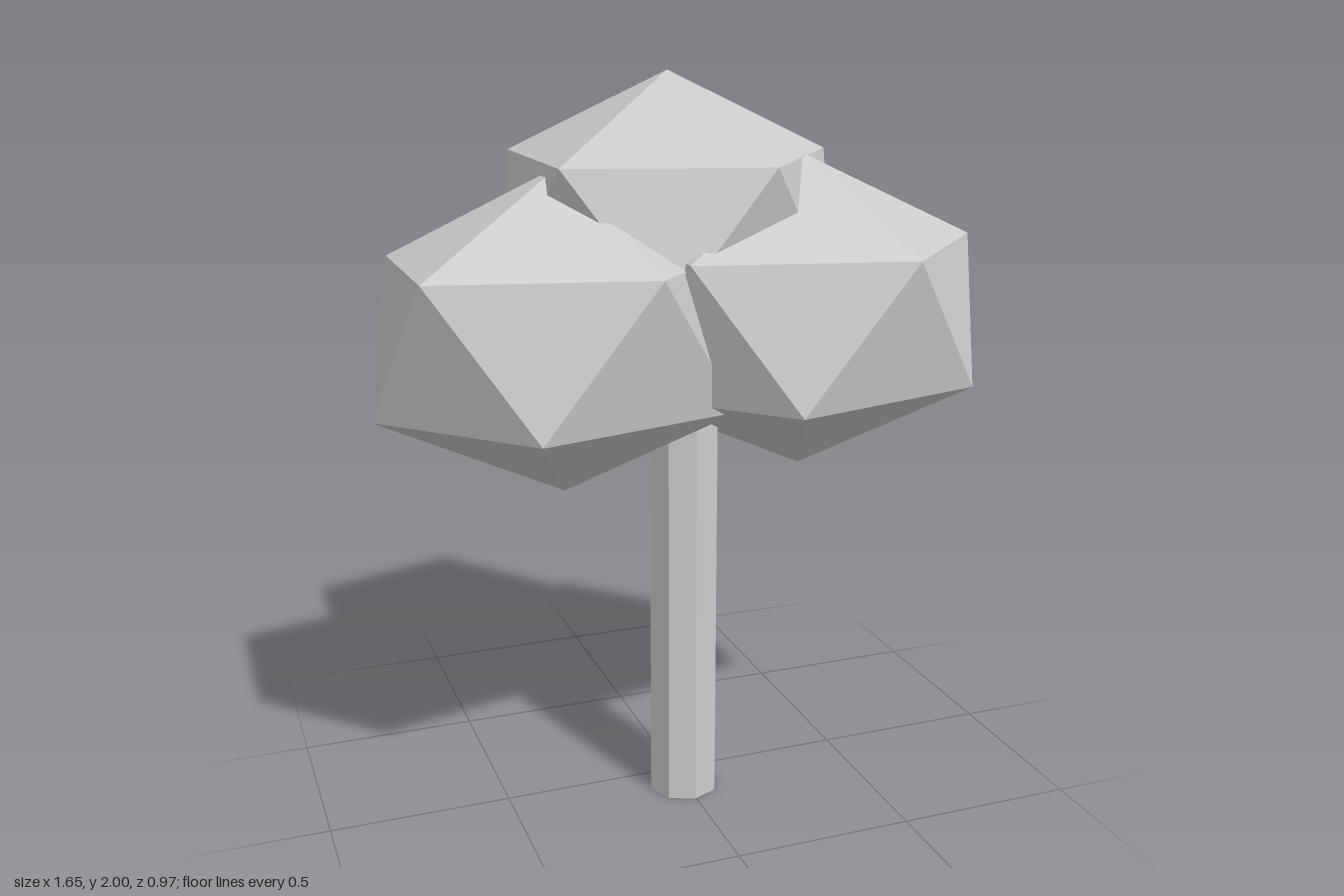
import * as THREE from 'three';

const material = new THREE.MeshStandardMaterial({ color: 0xcccccc, flatShading: true });

// Stretched icosahedron standing on a vertex, with an upper-ring corner towards +x
function foliage(name, radii, centre) {
  const geometry = new THREE.IcosahedronGeometry(1, 0);
  geometry.rotateZ(-Math.atan(2 / (1 + Math.sqrt(5))));
  geometry.scale(...radii);
  const mesh = new THREE.Mesh(geometry, material);
  mesh.name = name;
  mesh.position.set(...centre);
  return mesh;
}

export function createModel() {
  const tree = new THREE.Group();
  tree.name = 'tree';

  // Eight-sided trunk, ending inside the foliage
  const height = 1.3;
  const trunk = new THREE.Mesh(new THREE.CylinderGeometry(0.098, 0.098, height, 8), material);
  trunk.name = 'trunk';
  trunk.position.set(-0.003, height / 2, 0.087);
  tree.add(trunk);

  // Three overlapping clumps of leaves
  tree.add(
    foliage('foliageTop', [0.514, 0.392, 0.482], [0.01, 1.608, -0.08]),
    foliage('foliageLeft', [0.559, 0.42, 0.429], [0.32, 1.37, 0.12]),
    foliage('foliageRight', [0.559, 0.428, 0.425], [-0.33, 1.348, 0.053]),
  );
  return tree;
}
